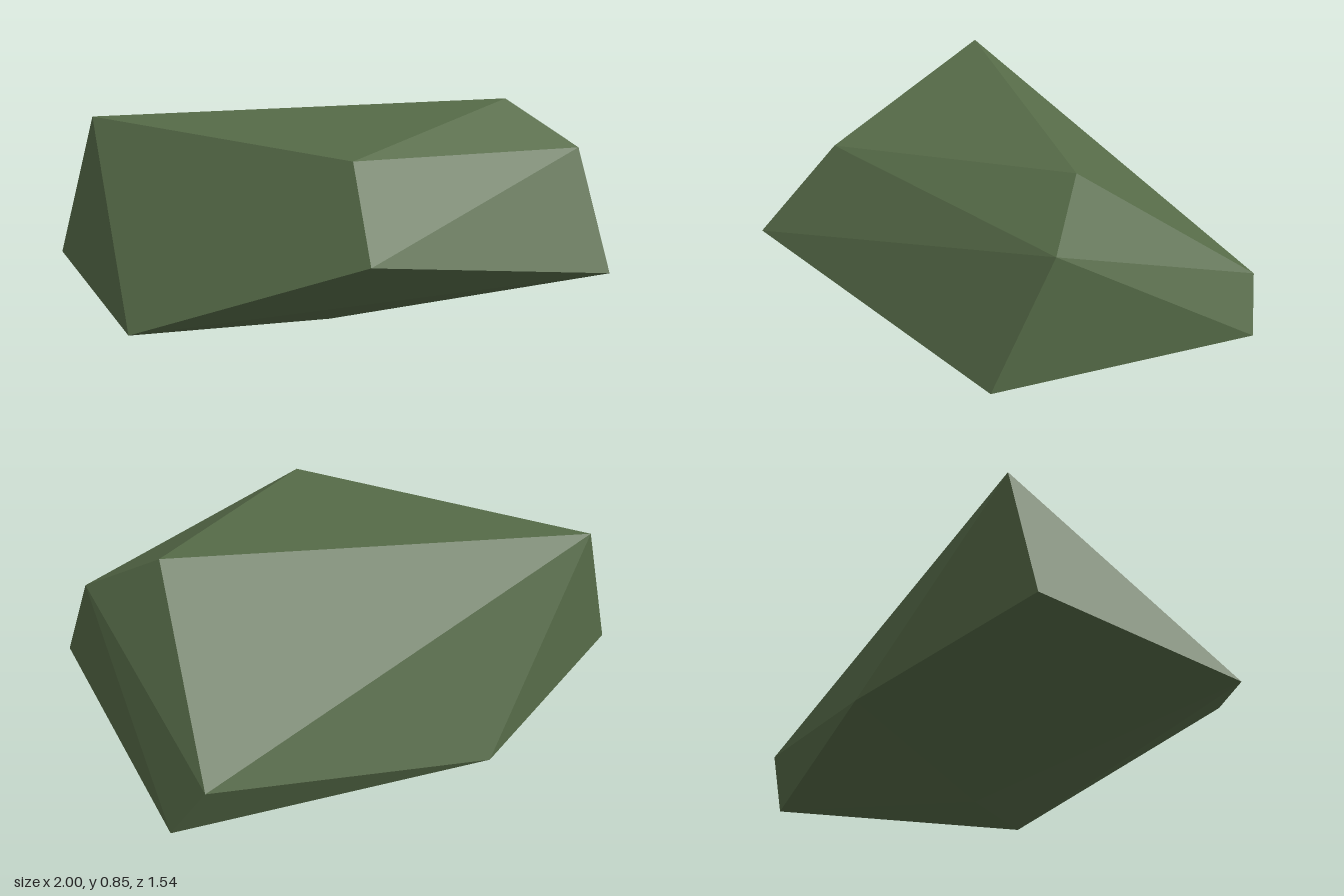
import * as THREE from 'three';
import { ConvexGeometry } from 'three/addons/geometries/ConvexGeometry.js';

export function createModel() {
  const group = new THREE.Group();
  group.name = 'boulder';

  const mossGreen = new THREE.MeshStandardMaterial({ color: 0x566b48 });
  mossGreen.name = 'mossGreen';

  // Corners of the faceted rock: crown, shoulder, rim and foot
  const crown = [[-0.63, 0.79, -0.74], [-0.385, 0.77, 0.42], [0.53, 0.85, 0.27]];
  const shoulder = [[0.635, 0.69, 0.54], [-0.53, 0.49, 0.66], [0.93, 0.37, -0.28]];
  const rim = [
    [-1, 0.21, 0], [0.55, 0.275, 0.77], [0.995, 0.19, -0.175],
    [-0.01, 0.16, -0.765], [-0.77, 0.29, -0.77],
  ];
  const foot = [[0.01, 0, -0.14]];

  const corners = [...crown, ...shoulder, ...rim, ...foot].map((p) => new THREE.Vector3(...p));

  // Convex hull gives flat facets with hard edges
  const rock = new THREE.Mesh(new ConvexGeometry(corners), mossGreen);
  rock.name = 'rock';
  group.add(rock);
  return group;
}
